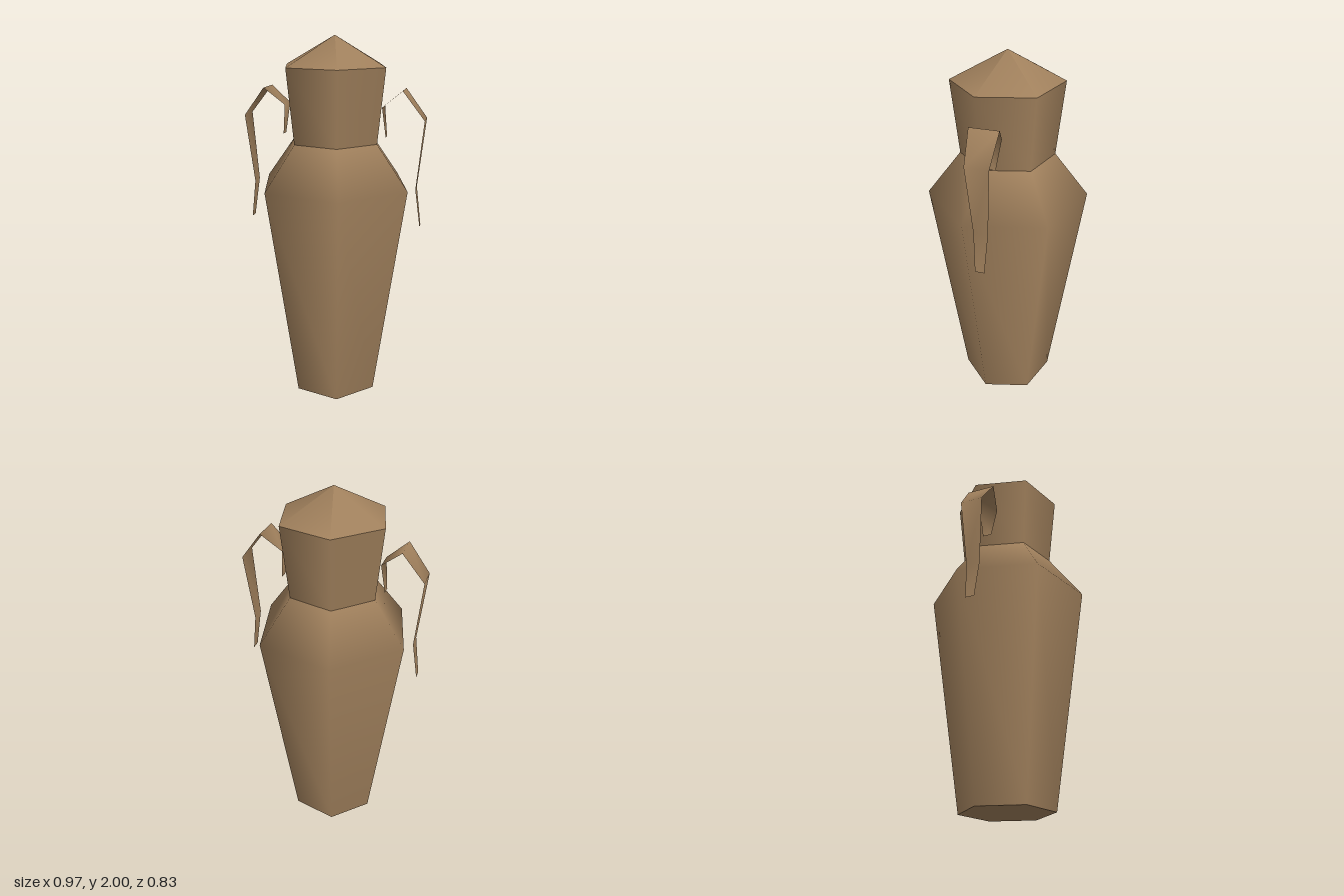
import * as THREE from 'three';

const SIDES = 6;

export function createModel() {
  const group = new THREE.Group();
  const clay = new THREE.MeshStandardMaterial({ color: 0xa0805c, side: THREE.DoubleSide });
  clay.name = 'brown clay';

  const add = (name, geometry) => {
    const mesh = new THREE.Mesh(geometry, clay);
    mesh.name = name;
    group.add(mesh);
  };

  // Hexagonal turned sections: [radius, height] from bottom to top, smooth within each
  const turned = (profile) => new THREE.LatheGeometry(
    profile.map(([r, y]) => new THREE.Vector2(r, y)), SIDES, Math.PI / 12);

  add('base', turned([[0, 0], [0.25, 0.01]]));
  add('body', turned([[0.25, 0.01], [0.43, 1.215], [0.25, 1.45]]));
  add('neck', turned([[0.25, 1.45], [0.293, 1.845]]));
  add('lid', turned([[0.293, 1.845], [0, 2]]));

  // Handles: thin tapering strips, stations are [x, y, half width]
  const stations = [
    [0.28, 1.48, 0.025], [0.262, 1.64, 0.052], [0.37, 1.73, 0.077],
    [0.485, 1.58, 0.062], [0.447, 1.21, 0.038], [0.475, 1.0, 0.025],
  ];
  const strip = (side) => {
    const positions = [];
    const index = [];
    stations.forEach(([x, y, w], i) => {
      positions.push(side * x, y, side * w, side * x, y, -side * w);
      const a = i * 2;
      if (i < stations.length - 1) index.push(a, a + 2, a + 1, a + 1, a + 2, a + 3);
    });
    const geometry = new THREE.BufferGeometry();
    geometry.setAttribute('position', new THREE.Float32BufferAttribute(positions, 3));
    geometry.setIndex(index);
    geometry.computeVertexNormals();
    return geometry;
  };
  add('leftHandle', strip(1));
  add('rightHandle', strip(-1));

  return group;
}
